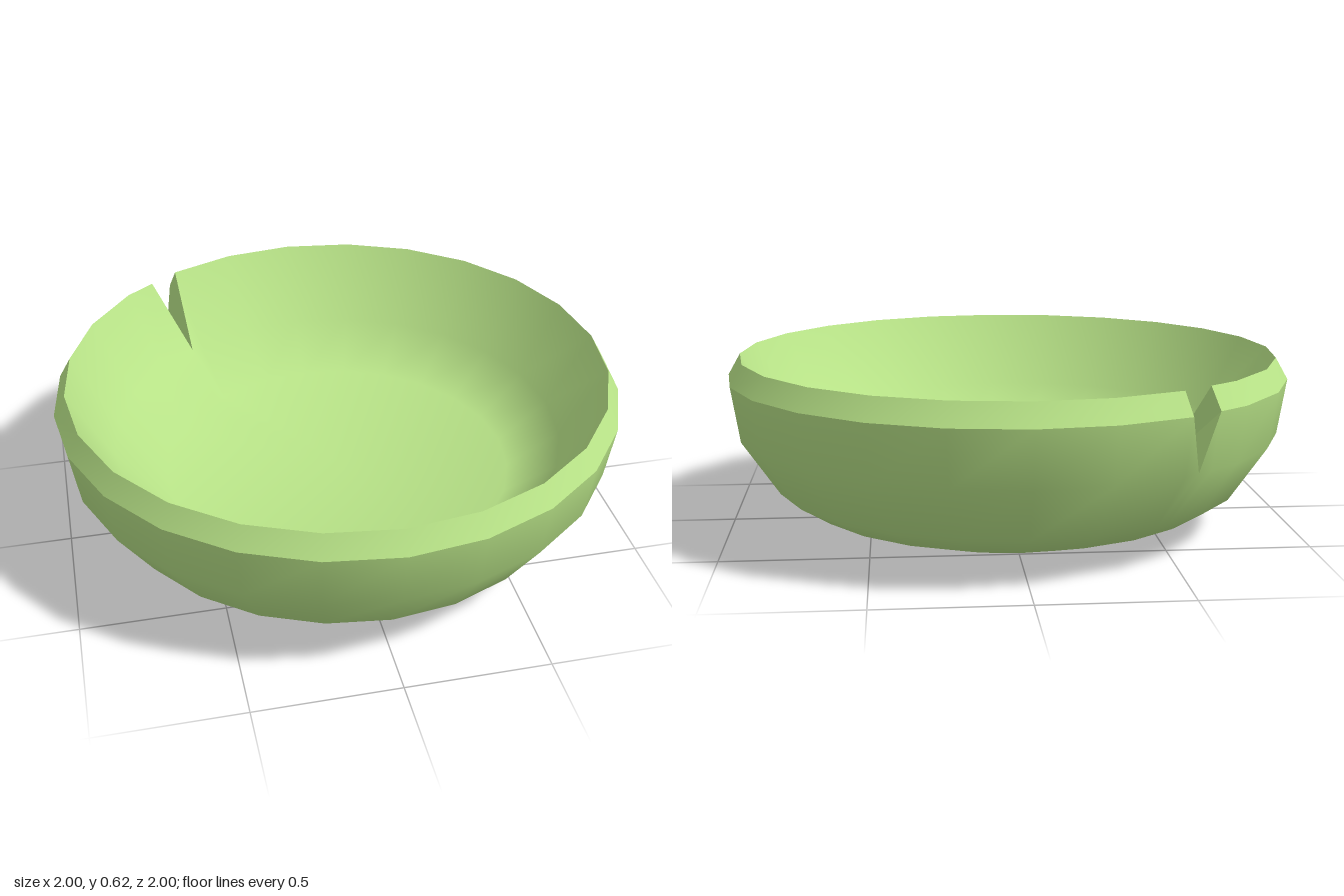
import * as THREE from 'three';
import { mergeVertices } from 'three/addons/utils/BufferGeometryUtils.js';

const SIDES = 24;
const NOTCH_Y = 0.345; // height where the V-shaped chip in the rim ends

// Profiles as [radius, height]: up the outside, over the rim, down the inside
const outer = [[0, 0], [0.49, 0], [0.73, 0.08], [0.84, 0.15], [0.97, NOTCH_Y], [1, 0.54]];
const rim = [[1, 0.54], [0.957, 0.615]];
const inner = [[0.957, 0.615], [0.807, NOTCH_Y], [0.63, 0.2], [0, 0.195]];

// Columns as [position below the chip, position above it], counted in sides from the back
const columns = [];
for (let i = 0; i <= SIDES; i++) {
  columns.push([i, i]);
  if (i === 2) columns.push([2.25, 2], [2.25, 2.5], [2.5, 2.5]);
}
const chipA = columns[3], chipB = columns[4];

// Point on the 24-sided ring, staying on the straight chord between corners
function ringPoint([r, y], column) {
  const u = y > NOTCH_Y + 0.01 ? column[1] : column[0];
  const corner = (k) => {
    const a = ((k % SIDES) / SIDES) * Math.PI * 2;
    return new THREE.Vector3(-Math.sin(a) * r, y, -Math.cos(a) * r);
  };
  const k = Math.floor(u);
  return corner(k).lerp(corner(k + 1), u - k);
}

function addTriangle(out, a, b, c) {
  const area = b.clone().sub(a).cross(c.clone().sub(a)).length();
  if (area > 1e-7) [a, b, c].forEach((p) => out.push(p.x, p.y, p.z));
}

function addQuad(out, a, b, c, d) {
  addTriangle(out, a, b, c);
  addTriangle(out, a, c, d);
}

function toGeometry(positions, smooth) {
  let g = new THREE.BufferGeometry();
  g.setAttribute('position', new THREE.Float32BufferAttribute(positions, 3));
  if (smooth) g = mergeVertices(g, 1e-4);
  g.computeVertexNormals();
  return g;
}

// Sweep a profile around all columns, leaving the chip open
function sweep(profile) {
  const out = [];
  for (let i = 0; i < columns.length - 1; i++) {
    if (columns[i] === chipA) continue;
    for (let j = 0; j < profile.length - 1; j++) {
      addQuad(out,
        ringPoint(profile[j], columns[i]), ringPoint(profile[j], columns[i + 1]),
        ringPoint(profile[j + 1], columns[i + 1]), ringPoint(profile[j + 1], columns[i]));
    }
  }
  return toGeometry(out, true);
}

// The two cut faces of the chip, through the thickness of the wall
function chipFaces() {
  const out = [];
  const loop = [outer[4], inner[1], inner[0], outer[5]];
  addQuad(out, ...loop.map((p) => ringPoint(p, chipA)));
  addQuad(out, ...loop.map((p) => ringPoint(p, chipB)).reverse());
  return toGeometry(out, false);
}

export function createModel() {
  const group = new THREE.Group();
  group.name = 'bowl';
  const material = new THREE.MeshStandardMaterial({ color: 0xb9e488 });
  const add = (name, geometry) => {
    const mesh = new THREE.Mesh(geometry, material);
    mesh.name = name;
    group.add(mesh);
  };
  add('outerWall', sweep(outer));
  add('bevelledRim', sweep(rim));
  add('innerWall', sweep(inner));
  add('chipFaces', chipFaces());
  return group;
}
